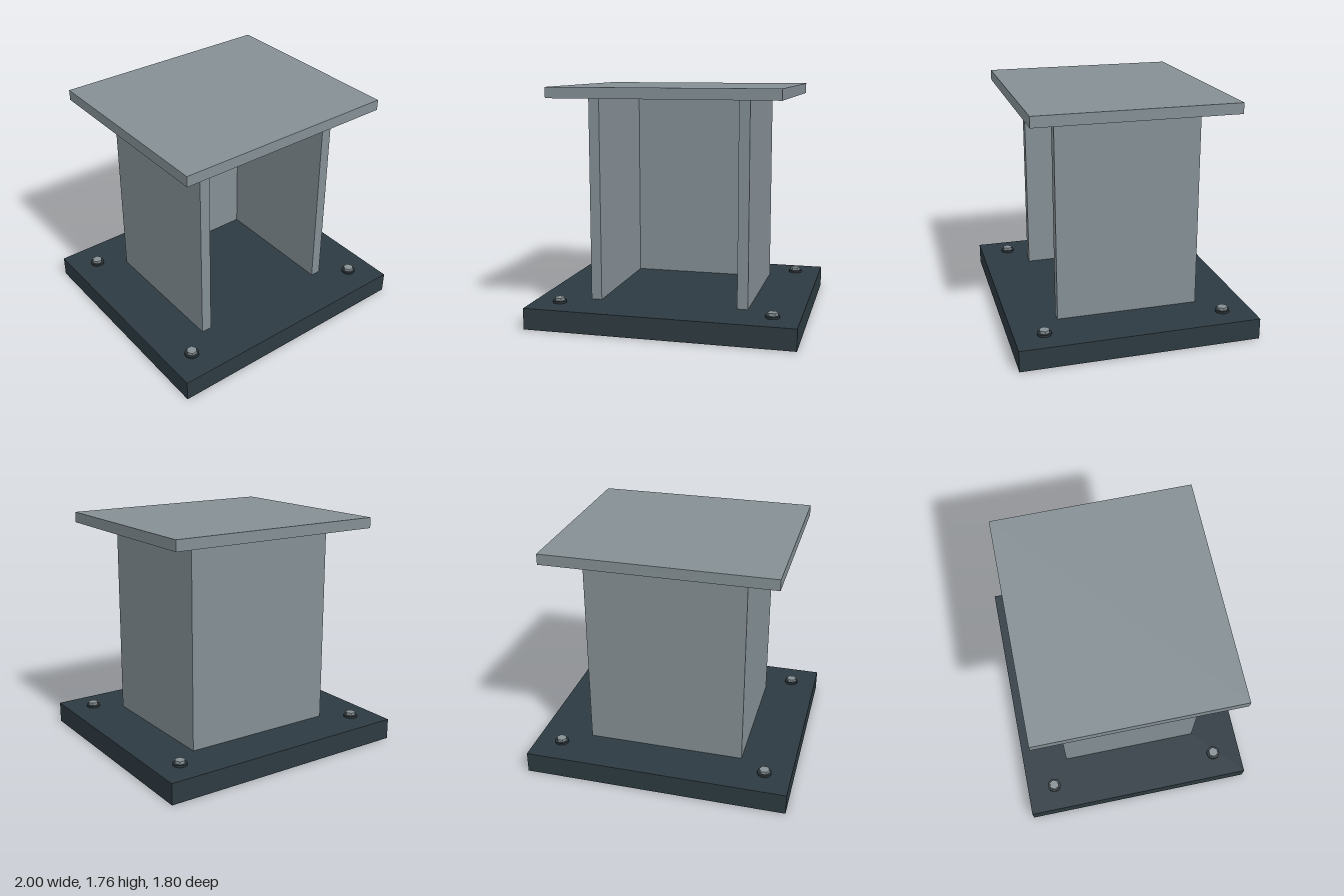
import * as THREE from 'three';

const steel = new THREE.MeshStandardMaterial({ color: 0x848f94, flatShading: true });
steel.name = 'grey steel';
const dark = new THREE.MeshStandardMaterial({ color: 0x2d3a41, flatShading: true });
dark.name = 'dark base';
const washerMat = new THREE.MeshStandardMaterial({ color: 0x2b3438 });
washerMat.name = 'washer black';

function add(parent, name, geometry, material, x, y, z) {
  const mesh = new THREE.Mesh(geometry, material);
  mesh.name = name;
  mesh.position.set(x, y, z);
  parent.add(mesh);
  return mesh;
}

export function createModel() {
  const model = new THREE.Group();
  model.name = 'pedestal';

  add(model, 'basePlate', new THREE.BoxGeometry(2, 0.16, 1.8), dark, 0, 0.08, 0);
  add(model, 'topPlate', new THREE.BoxGeometry(1.7, 0.08, 1.5), steel, 0, 1.72, 0);

  // U-shaped column, open at the front (shape y becomes -z)
  const outline = new THREE.Shape([
    [-0.6, -0.54], [-0.52, -0.54], [-0.52, 0.46], [0.52, 0.46],
    [0.52, -0.54], [0.6, -0.54], [0.6, 0.54], [-0.6, 0.54],
  ].map(([x, y]) => new THREE.Vector2(x, y)));
  const column = new THREE.ExtrudeGeometry(outline, { depth: 1.52, bevelEnabled: false });
  column.rotateX(-Math.PI / 2);
  add(model, 'channelColumn', column, steel, 0, 0.16, 0);

  // Anchor bolts: washer and hex head at each corner of the base
  const washer = new THREE.CylinderGeometry(0.053, 0.053, 0.016, 24);
  const head = new THREE.CylinderGeometry(0.04, 0.04, 0.022, 6).rotateY(Math.PI / 6);
  for (const x of [-0.8, 0.8]) {
    for (const z of [-0.68, 0.68]) {
      const bolt = new THREE.Group();
      bolt.name = 'anchorBolt';
      bolt.position.set(x, 0.16, z);
      add(bolt, 'washer', washer, washerMat, 0, 0.008, 0);
      add(bolt, 'hexHead', head, steel, 0, 0.027, 0);
      model.add(bolt);
    }
  }
  return model;
}
